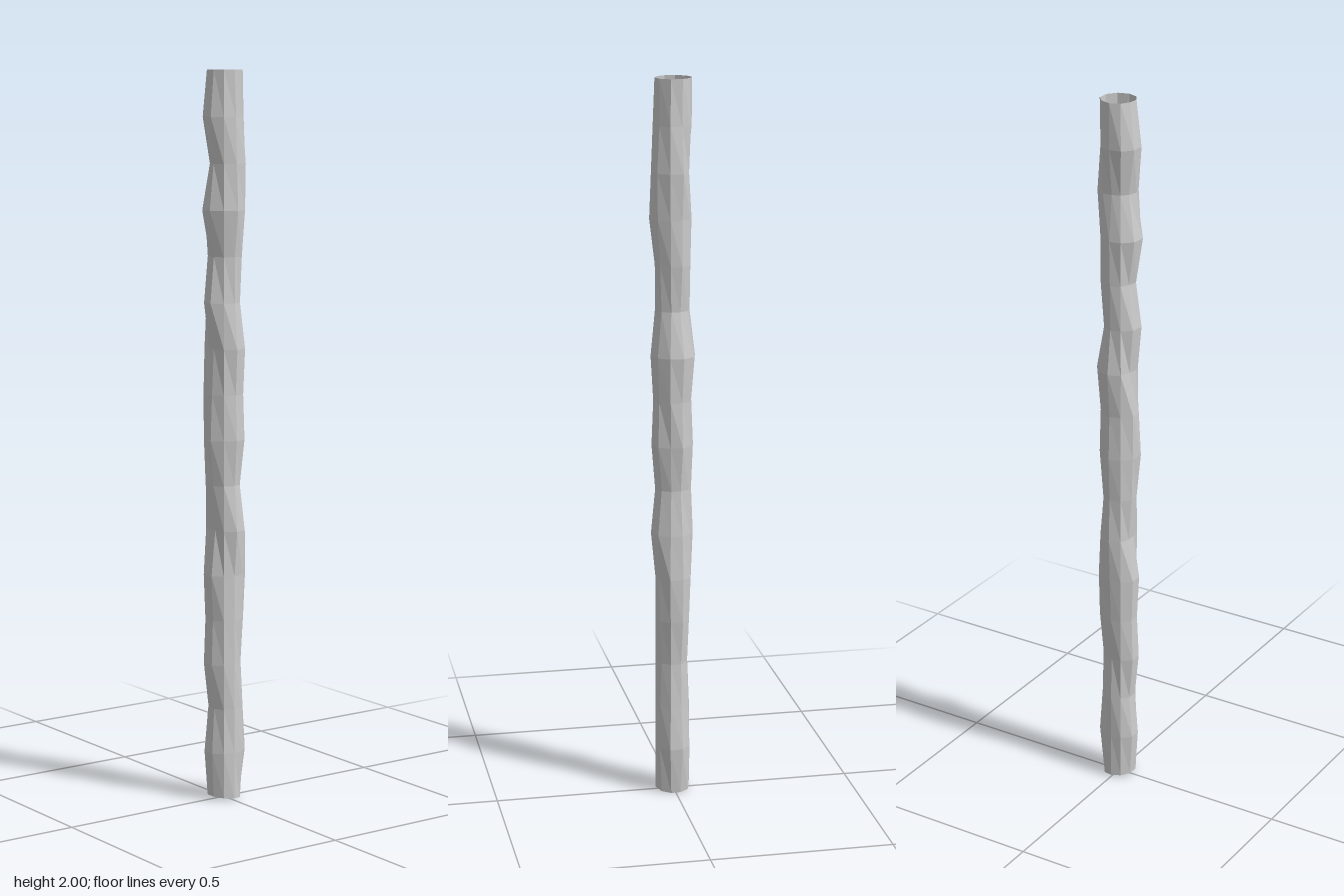
import * as THREE from 'three';

const SIDES = 10;
// Reach of the trunk to each side, ring by ring from the base up (in hundredths)
const LEFT = [4, 5.6, 5, 4.5, 5.5, 5.7, 5, 3.8, 5, 5, 5.8, 4, 5, 5, 5.8, 5, 5];
const RIGHT = [4.8, 5.5, 4.3, 5.6, 5, 5.5, 3.8, 5, 5.5, 5.5, 4, 5.8, 4.1, 6, 4.1, 6, 4.5];
const FRONT = [5, 5, 5, 5, 5, 5, 6.2, 5, 6, 5.5, 6.2, 5, 5, 6.5, 6, 5.5, 5];
const BACK = [4.5, 4.5, 4.5, 4, 4.5, 5, 5.5, 5, 5.5, 5, 6, 4.5, 4.7, 5, 3.7, 5, 5];

function seeded(seed) {
  return () => {
    seed = (seed * 16807) % 2147483647;
    return seed / 2147483647;
  };
}

export function createModel() {
  const group = new THREE.Group();
  group.name = 'trunk';
  const material = new THREE.MeshStandardMaterial({
    color: 0xcccccc, flatShading: true, side: THREE.DoubleSide,
  });
  const rand = seeded(71);
  const last = LEFT.length - 1;

  // Uneven rings, joined into a faceted tube
  const positions = [];
  const index = [];
  for (let j = 0; j <= last; j++) {
    for (let i = 0; i < SIDES; i++) {
      const a = (i / SIDES) * Math.PI * 2;
      const s = Math.sin(a), c = Math.cos(a);
      const rx = (s > 0 ? LEFT[j] : RIGHT[j]) * 1.04;
      const rz = c > 0 ? FRONT[j] : BACK[j];
      const r = (rx * s * s + rz * c * c + (rand() - 0.5) * 0.7 * Math.abs(s)) / 100;
      const y = j === 0 ? 0.005 * (1 - s / Math.sin(Math.PI * 0.4)) : 0.01 + (j / last) * 1.99;
      positions.push(r * s, y, r * c);
      if (j < last) {
        const p = j * SIDES + i, q = j * SIDES + (i + 1) % SIDES;
        index.push(p, q, p + SIDES, q, q + SIDES, p + SIDES);
      }
    }
  }
  const bark = new THREE.BufferGeometry();
  bark.setAttribute('position', new THREE.Float32BufferAttribute(positions, 3));
  bark.setIndex(index);
  bark.computeVertexNormals();
  const tube = new THREE.Mesh(bark, material);
  tube.name = 'hollowStem';
  group.add(tube);

  // Closed foot; the top stays open
  const footIndex = [];
  for (let i = 0; i < SIDES; i++) footIndex.push(SIDES, (i + 1) % SIDES, i);
  const foot = new THREE.BufferGeometry();
  foot.setAttribute('position', new THREE.Float32BufferAttribute(
    [...positions.slice(0, SIDES * 3), 0, 0.005, 0], 3));
  foot.setIndex(footIndex);
  foot.computeVertexNormals();
  const base = new THREE.Mesh(foot, material);
  base.name = 'bottomCap';
  group.add(base);
  return group;
}
